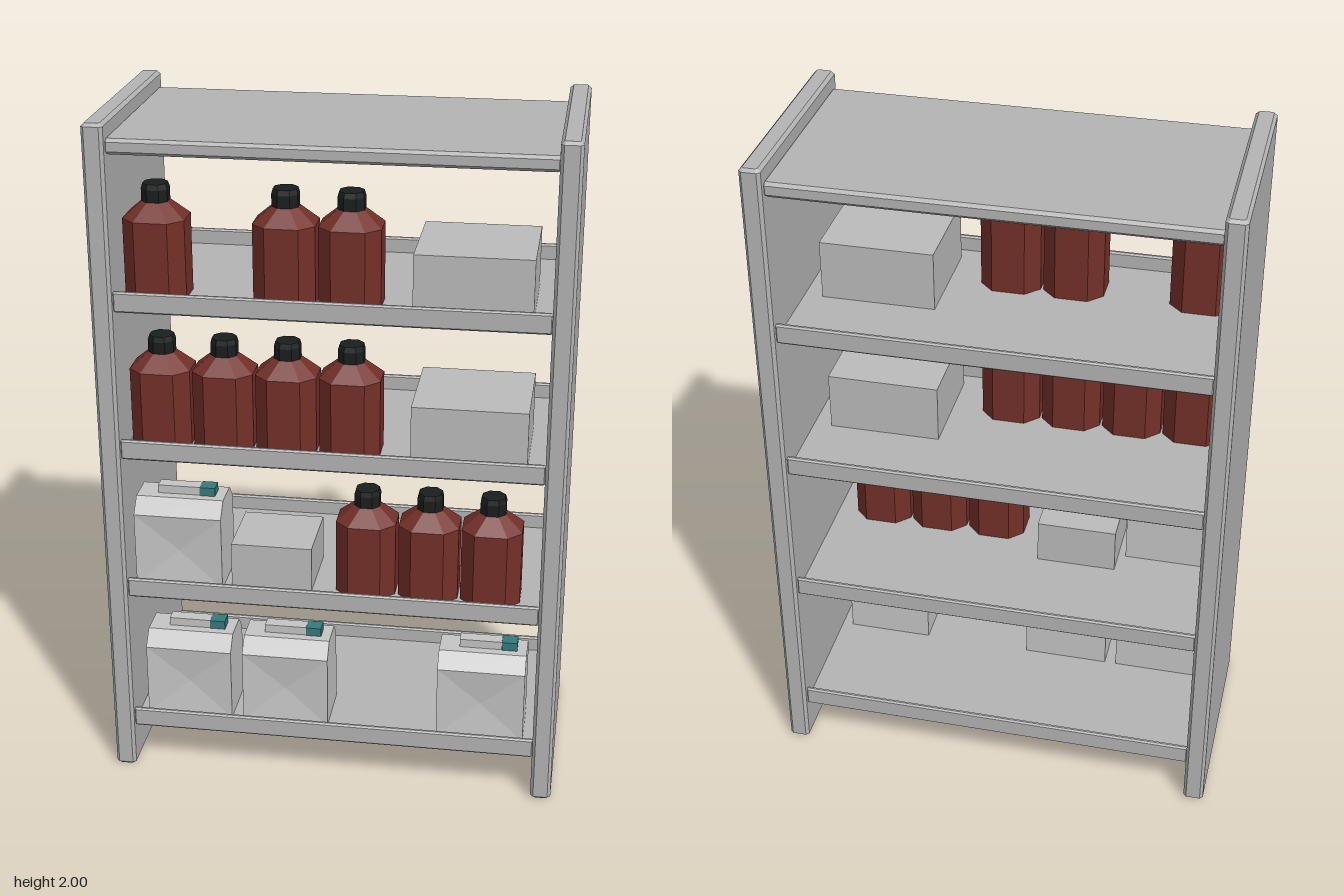
import * as THREE from 'three';

const mat = (name, color) => {
  const m = new THREE.MeshStandardMaterial({ color });
  m.name = name;
  return m;
};

// Faceted solid from triangle corners
function facets(points) {
  const g = new THREE.BufferGeometry();
  g.setAttribute('position', new THREE.Float32BufferAttribute(points.flat(), 3));
  g.computeVertexNormals();
  return g;
}

// Closed loft through horizontal rings, each a list of [x, y, z]
function loft(rings) {
  const tris = [], n = rings[0].length, last = rings.length - 1;
  const bottom = [0, rings[0][0][1], 0], top = [0, rings[last][0][1], 0];
  for (let i = 0; i < n; i++) {
    const j = (i + 1) % n;
    for (let r = 0; r < last; r++) {
      const a = rings[r][i], b = rings[r][j], A = rings[r + 1][i], B = rings[r + 1][j];
      tris.push(a, A, b, b, A, B);
    }
    tris.push(bottom, rings[0][i], rings[0][j], top, rings[last][j], rings[last][i]);
  }
  return facets(tris);
}

// Rectangle with cut corners: half sizes w, d and corner cut c
const cutRing = (w, d, c, y) => [
  [w, d - c], [w - c, d], [c - w, d], [-w, d - c],
  [-w, c - d], [c - w, -d], [w - c, -d], [w, c - d],
].map(([x, z]) => [x, y, z]);

// Box with chamfered edges, standing on y = 0
const chamferBox = (w, h, d, c) => loft([
  cutRing(w / 2 - c, d / 2 - c, c / 2, 0), cutRing(w / 2, d / 2, c, c),
  cutRing(w / 2, d / 2, c, h - c), cutRing(w / 2 - c, d / 2 - c, c / 2, h),
]);

// Canister body: sloped shoulders front and back, front panel pressed inward
function canisterGeometry(w, h, d) {
  const s = h - 0.045, hd = d / 2, hw = w / 2;
  const profile = new THREE.Shape([
    [-hd, 0], [hd, 0], [hd, s], [hd - 0.04, h], [0.04 - hd, h], [-hd, s],
  ].map(([z, y]) => new THREE.Vector2(z, y)));
  const g = new THREE.ExtrudeGeometry(profile, { depth: w, bevelEnabled: false });
  g.rotateY(-Math.PI / 2).translate(hw, 0, 0);
  const solid = g.index ? g.toNonIndexed() : g;
  const p = solid.attributes.position, tris = [];
  for (let i = 0; i < p.count; i += 3) {
    const t = [0, 1, 2].map(k => [p.getX(i + k), p.getY(i + k), p.getZ(i + k)]);
    const onFront = t.every(v => Math.abs(v[2] - hd) < 1e-5);
    if (!onFront) tris.push(...t);
  }
  const corners = [[-hw, 0, hd], [hw, 0, hd], [hw, s, hd], [-hw, s, hd]];
  corners.forEach((c, i) => tris.push(c, corners[(i + 1) % 4], [0, s / 2, hd - 0.012]));
  return facets(tris);
}

export function createModel() {
  const model = new THREE.Group();
  const shelfGrey = mat('shelf grey', 0xb4b4b4);
  const boxGrey = mat('box grey', 0xbcbcbc);
  const canGrey = mat('canister light grey', 0xc6c6c6);
  const brown = mat('bottle brown', 0x743029);
  const black = mat('cap black', 0x1b1e1e);
  const teal = mat('cap teal', 0x367a7c);

  const add = (parent, name, geometry, material, x, y, z) => {
    const m = new THREE.Mesh(geometry, material);
    m.name = name;
    m.position.set(x, y, z);
    parent.add(m);
    return m;
  };
  const box = (w, h, d) => new THREE.BoxGeometry(w, h, d);

  // Side panels
  const panel = chamferBox(0.06, 2, 0.66, 0.009);
  add(model, 'leftPanel', panel, shelfGrey, 0.633, 0, 0);
  add(model, 'rightPanel', panel, shelfGrey, -0.633, 0, 0);

  // Tray shelves with front and back lips, and the top board
  const levels = [0.145, 0.59, 1.035, 1.48];
  const lip = chamferBox(1.21, 0.06, 0.016, 0.005);
  levels.forEach((y, i) => {
    const shelf = new THREE.Group();
    shelf.name = 'shelf' + (i + 1);
    model.add(shelf);
    add(shelf, 'shelfPlate', box(1.21, 0.014, 0.6), shelfGrey, 0, y - 0.007, 0);
    add(shelf, 'frontLip', lip, shelfGrey, 0, y - 0.014, 0.303);
    add(shelf, 'backLip', lip, shelfGrey, 0, y - 0.014, -0.303);
  });
  add(model, 'topBoard', chamferBox(1.22, 0.044, 0.615, 0.009), shelfGrey, 0, 1.911, 0);

  // Bottles: eight-sided body with tapered shoulder and a cap
  const bottleBody = loft([
    cutRing(0.0875, 0.082, 0.04, 0), cutRing(0.0875, 0.082, 0.04, 0.225),
    cutRing(0.037, 0.037, 0.02, 0.27),
  ]);
  const bottleCap = loft([
    cutRing(0.037, 0.037, 0.02, 0.265), cutRing(0.037, 0.037, 0.02, 0.305),
    cutRing(0.033, 0.033, 0.018, 0.32),
  ]);
  const bottles = [
    [], [0.088, 0.272, 0.455], [-0.508, -0.326, -0.143, 0.04], [-0.508, -0.143, 0.04],
  ];
  bottles.forEach((row, i) => row.forEach(x => {
    const bottle = new THREE.Group();
    bottle.name = 'bottle';
    bottle.position.set(x, levels[i], 0.16);
    add(bottle, 'bottleBody', bottleBody, brown, 0, 0, 0);
    add(bottle, 'bottleCap', bottleCap, black, 0, 0, 0);
    model.add(bottle);
  }));

  // Canisters: body, grip and screw cap
  const canBody = canisterGeometry(0.26, 0.27, 0.175);
  const canisters = [[0, -0.445], [0, -0.15], [0, 0.44], [1, -0.463]];
  for (const [i, x] of canisters) {
    const can = new THREE.Group();
    can.name = 'canister';
    can.position.set(x, levels[i], 0.16);
    add(can, 'canisterBody', canBody, canGrey, 0, 0, 0);
    add(can, 'canisterGrip', box(0.125, 0.025, 0.04), canGrey, -0.008, 0.2825, 0);
    add(can, 'canisterCap', box(0.046, 0.026, 0.046), teal, 0.078, 0.283, 0);
    model.add(can);
  }

  // Storage boxes
  for (const i of [2, 3])
    add(model, 'largeBox', box(0.33, 0.174, 0.31), boxGrey, 0.385, levels[i] + 0.087, 0.095);
  add(model, 'smallBox', box(0.24, 0.136, 0.22), boxGrey, -0.19, levels[1] + 0.068, 0.11);

  return model;
}
